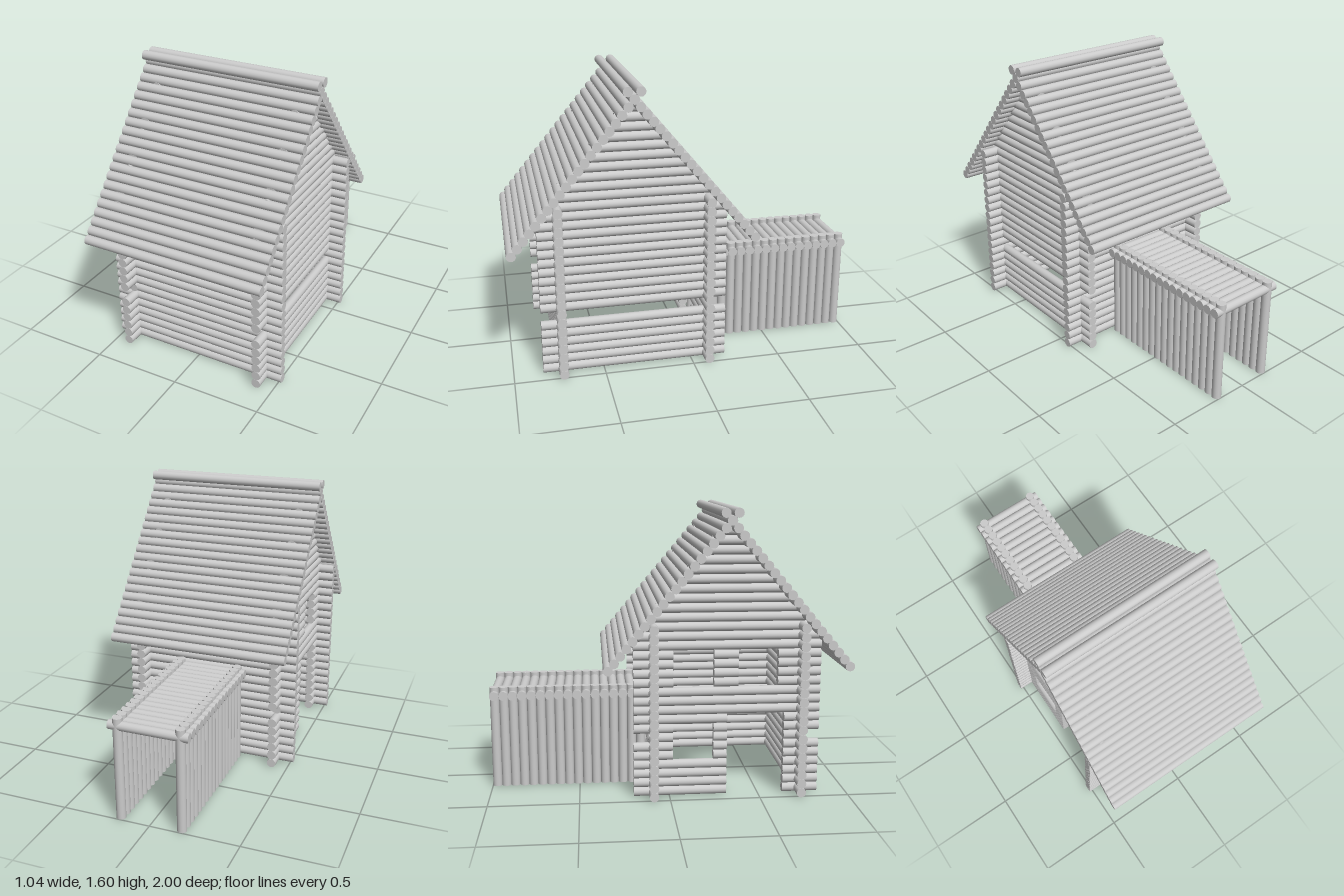
import * as THREE from 'three';

const R = 0.0262;      // log radius
const PITCH = 0.0518;  // spacing between neighbouring logs
const MID_Z = 0.32;    // house centre, below the ridge
const HALF_X = 0.41, HALF_Z = 0.41, REACH = 0.518;
const material = new THREE.MeshStandardMaterial({ color: 0xcccccc });

// One round log running along an axis from a to b; u and v are its other two coordinates in x, y, z order
function addLog(parent, name, axis, a, b, u, v) {
  if (b - a < 0.005) return;
  const geometry = new THREE.CylinderGeometry(R, R, b - a, 16);
  const m = (a + b) / 2;
  if (axis === 'x') geometry.rotateZ(Math.PI / 2).translate(m, u, v);
  if (axis === 'y') geometry.translate(u, m, v);
  if (axis === 'z') geometry.rotateX(Math.PI / 2).translate(u, v, m);
  const log = new THREE.Mesh(geometry, material);
  log.name = name;
  parent.add(log);
}

// Split the span a..b around the openings that cross height y
function spans(a, b, y, openings) {
  let parts = [[a, b]];
  for (const [o0, o1, y0, y1] of openings) {
    if (y < y0 || y > y1) continue;
    parts = parts.flatMap(([p, q]) => (o1 <= p || o0 >= q)
      ? [[p, q]] : [[p, o0], [o1, q]].filter(([s, e]) => e > s));
  }
  return parts;
}

function group(parent, name) {
  const g = new THREE.Group();
  g.name = name;
  parent.add(g);
  return g;
}

export function createModel() {
  const model = new THREE.Group();
  model.name = 'logCabin';
  const rowY = (k) => R + k * PITCH;

  // Front wall, and back wall with a doorway into the passage
  const frontWall = group(model, 'frontWall');
  const backWall = group(model, 'backWall');
  for (let k = 0; k <= 18; k++) {
    const y = rowY(k);
    addLog(frontWall, 'wallLog', 'x', -REACH, REACH, y, MID_Z + HALF_Z);
    for (const [a, b] of spans(-REACH, REACH, y, [[-0.145, 0.145, 0, 0.51]])) {
      addLog(backWall, 'wallLog', 'x', a, b, y, MID_Z - HALF_Z);
    }
  }

  // Side walls rise into gables; the right one has a door and three windows
  const rightOpenings = [
    [0.32, 0.64, 0, 0.48],
    [0.02, 0.245, 0.19, 0.41],
    [0.38, 0.60, 0.60, 0.82],
    [0.02, 0.245, 0.60, 0.82],
  ];
  const leftWall = group(model, 'leftWall');
  const rightWall = group(model, 'rightWall');
  for (let k = 0; k <= 28; k++) {
    const y = rowY(k);
    const gap = k === 6; // row left out of the left wall, shortened on the right
    const half = Math.min(gap ? HALF_Z + R : REACH, (1.535 - y) * 0.838);
    const a = MID_Z - half, b = MID_Z + half;
    if (!gap) addLog(leftWall, 'wallLog', 'z', a, b, HALF_X, y);
    for (const [p, q] of spans(a, b, y, rightOpenings)) {
      addLog(rightWall, 'wallLog', 'z', p, q, -HALF_X, y);
    }
  }

  // Two roof slopes whose last logs cross above the ridge
  for (const [name, side] of [['frontRoof', 1], ['backRoof', -1]]) {
    const roof = group(model, name);
    for (let i = 0; i < 22; i++) {
      const t = i / 21;
      const z = MID_Z + side * THREE.MathUtils.lerp(0.657, -0.034, t);
      const y = THREE.MathUtils.lerp(0.744, 1.574, t);
      addLog(roof, 'roofLog', 'x', -REACH, REACH, y, z);
    }
  }

  // Rear passage: two rows of upright posts joined by cross logs
  const passage = group(model, 'rearPassage');
  for (let i = 0; i < 17; i++) {
    const z = -1 + R + i * PITCH;
    for (const side of [-1, 1]) addLog(passage, 'passagePost', 'y', 0, 0.585, side * 0.174, z);
    addLog(passage, 'passageRoofLog', 'x', -0.223, 0.223, 0.541, z);
  }

  return model;
}
